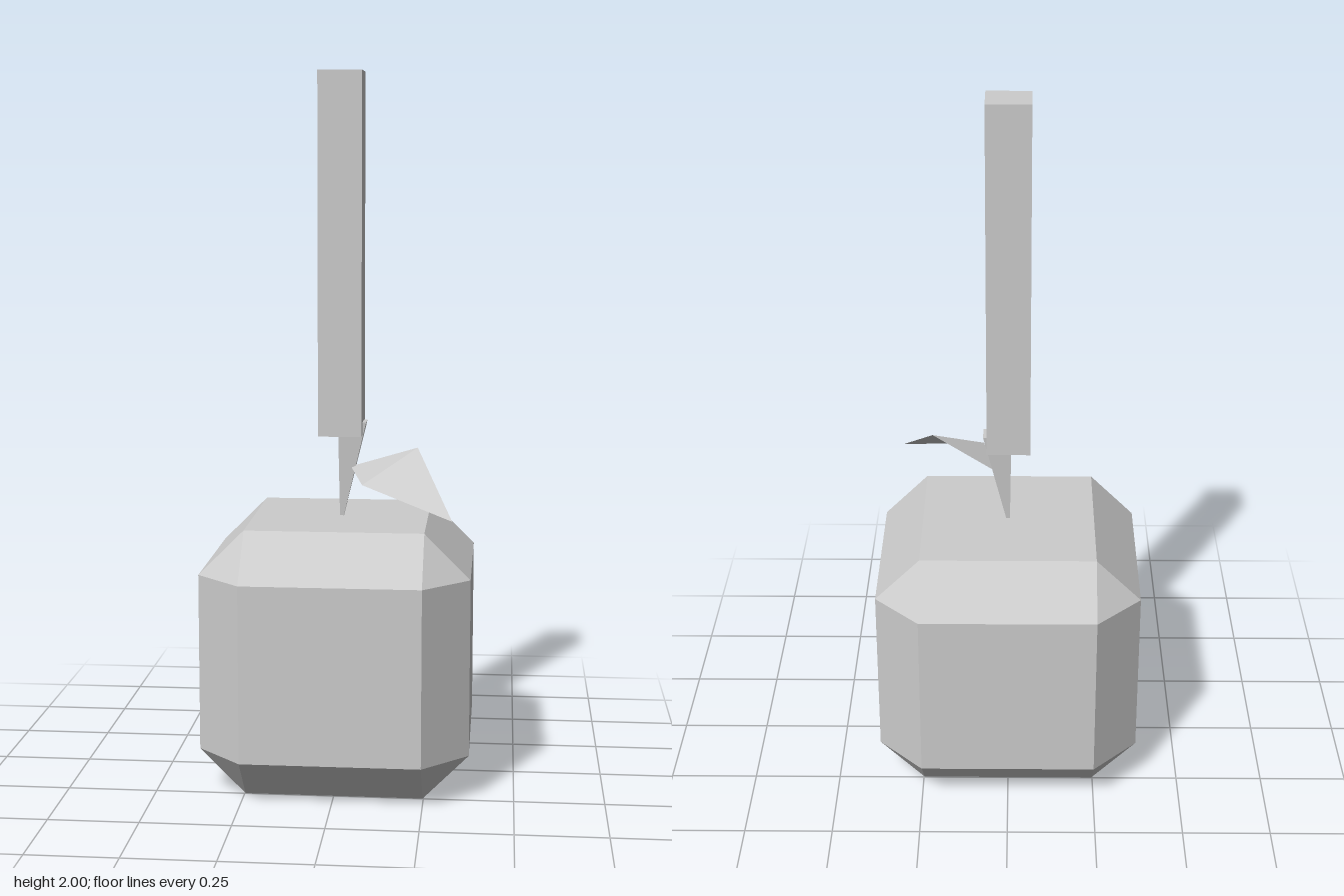
import * as THREE from 'three';
import { ConvexGeometry } from 'three/addons/geometries/ConvexGeometry.js';

const grey = new THREE.MeshStandardMaterial({ color: 0xcccccc });
const greyLeaf = grey.clone();
greyLeaf.side = THREE.DoubleSide;

const v = (x, y, z) => new THREE.Vector3(x, y, z);

function add(group, name, geometry, material = grey) {
  const mesh = new THREE.Mesh(geometry, material);
  mesh.name = name;
  group.add(mesh);
  return mesh;
}

// Cube with every edge and corner chamfered
function chamferedCube(half, inner) {
  const points = [];
  for (const sx of [-1, 1]) for (const sy of [-1, 1]) for (const sz of [-1, 1]) {
    points.push(
      v(sx * half, sy * inner, sz * inner),
      v(sx * inner, sy * half, sz * inner),
      v(sx * inner, sy * inner, sz * half));
  }
  return new ConvexGeometry(points);
}

// Solid between two rectangles given as [y, xMin, xMax, halfDepth]
function taper(...ends) {
  return new ConvexGeometry(ends.flatMap(([y, x0, x1, d]) =>
    [v(x0, y, -d), v(x0, y, d), v(x1, y, -d), v(x1, y, d)]));
}

export function createModel() {
  const model = new THREE.Group();
  model.name = 'model';

  // Body
  add(model, 'body', chamferedCube(0.375, 0.248)).position.y = 0.375;

  // Narrow stalk that widens up into the post
  add(model, 'stalk', taper([0.75, -0.004, 0.007, 0.007], [1.022, -0.008, 0.072, 0.028]));

  // Square post
  add(model, 'post', new THREE.BoxGeometry(0.123, 1.015, 0.123)).position.y = 1.4925;

  // Folded leaf: two triangles sharing a crease
  const base = v(0.027, 0.892, 0.003), front = v(0.076, 0.877, 0.223);
  const back = v(0.222, 0.964, 0.102), tip = v(0.326, 0.805, 0.35);
  const leaf = new THREE.BufferGeometry().setFromPoints([base, front, back, front, tip, back]);
  leaf.computeVertexNormals();
  add(model, 'leaf', leaf, greyLeaf);

  return model;
}
